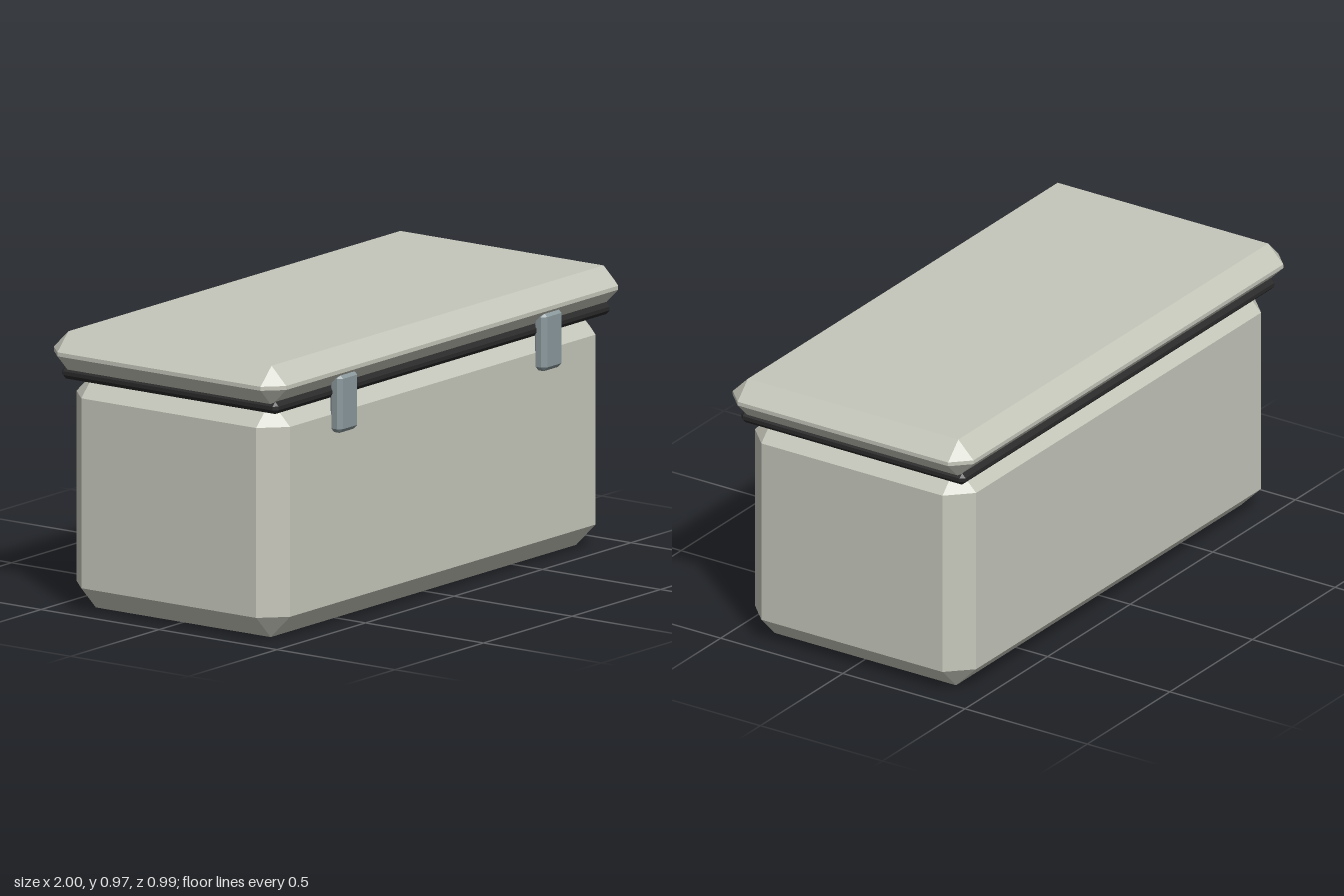
import * as THREE from 'three';
import { ConvexGeometry } from 'three/addons/geometries/ConvexGeometry.js';

// Box with every edge cut at 45 degrees and triangular corners
function chamferBox(w, h, d, c) {
  const half = [w / 2, h / 2, d / 2];
  const points = [];
  for (const sx of [-1, 1]) for (const sy of [-1, 1]) for (const sz of [-1, 1]) {
    for (let axis = 0; axis < 3; axis++) {
      const p = half.map((v, i) => (i === axis ? v : v - c));
      points.push(new THREE.Vector3(p[0] * sx, p[1] * sy, p[2] * sz));
    }
  }
  return new ConvexGeometry(points);
}

function material(name, color) {
  const m = new THREE.MeshStandardMaterial({ color, flatShading: true });
  m.name = name;
  return m;
}

export function createModel() {
  const model = new THREE.Group();
  model.name = 'storageCrate';
  const shell = material('pale grey shell', 0xc6c7bb);
  const rubber = material('black rubber', 0x2a2a2a);
  const metal = material('blue grey metal', 0x8b999d);

  const add = (name, mat, size, chamfer, x, y, z) => {
    const mesh = new THREE.Mesh(chamferBox(...size, chamfer), mat);
    mesh.name = name;
    mesh.position.set(x, y, z);
    model.add(mesh);
  };

  // Container, seal and lid
  add('body', shell, [1.89, 0.825, 0.905], 0.082, 0, 0.4125, 0);
  add('seal', rubber, [1.9, 0.043, 0.917], 0.015, 0, 0.8215, 0);
  add('lid', shell, [2, 0.138, 0.985], 0.062, 0, 0.898, 0);

  // Front latches
  for (const side of [-1, 1]) {
    add(side > 0 ? 'leftLatch' : 'rightLatch', metal, [0.11, 0.205, 0.053], 0.015, side * 0.577, 0.7825, 0.466);
  }
  return model;
}
